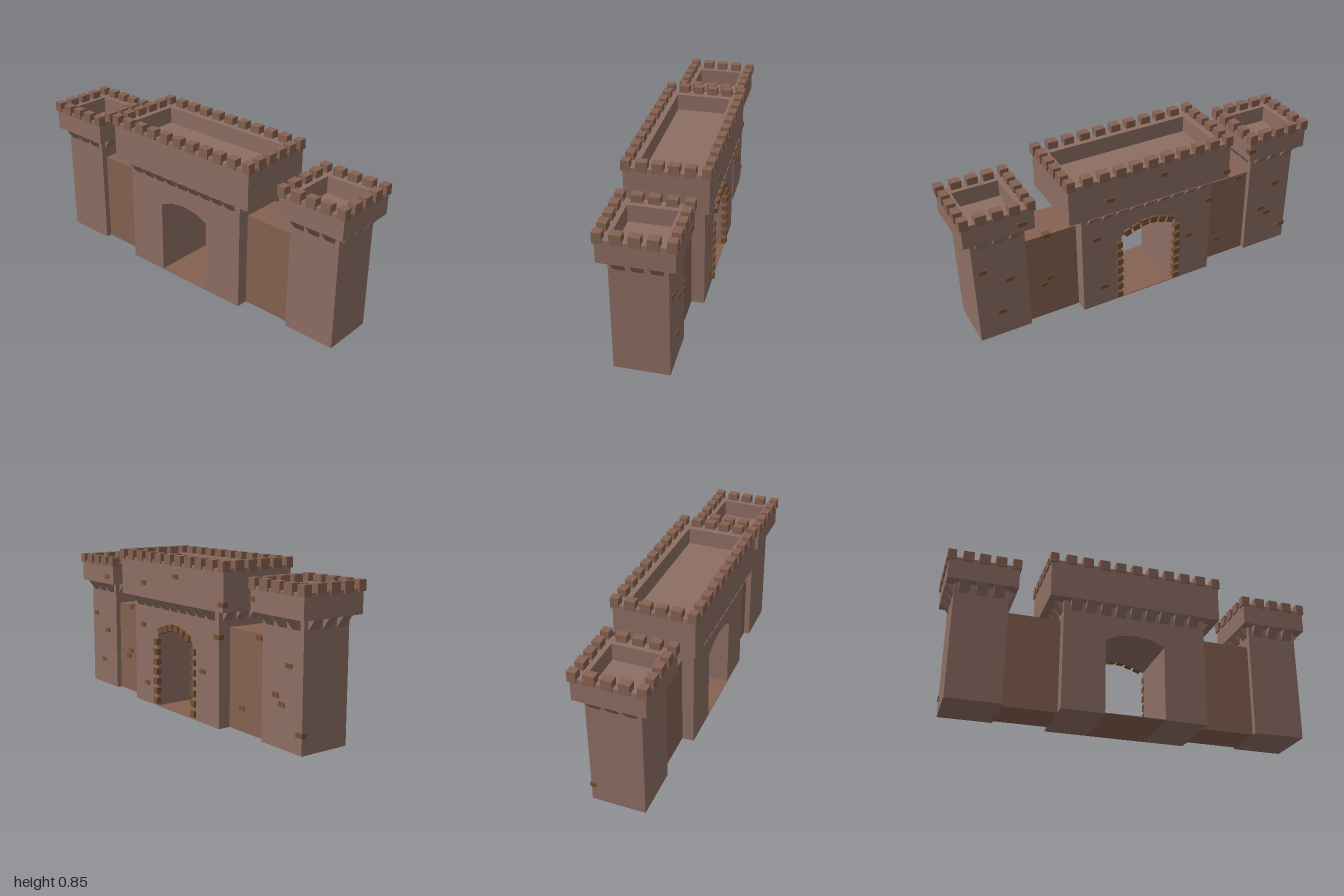
import * as THREE from 'three';

const mat = (color) => new THREE.MeshStandardMaterial({ color, flatShading: true, roughness: 0.9 });
const STONE = mat(0x8d6e63), WALL = mat(0x866252), BRICK = mat(0x755032);

function add(parent, name, geometry, material, x = 0, y = 0, z = 0) {
  const mesh = new THREE.Mesh(geometry, material);
  mesh.name = name;
  mesh.position.set(x, y, z);
  parent.add(mesh);
  return mesh;
}

const box = (parent, name, material, w, h, d, x, y, z) =>
  add(parent, name, new THREE.BoxGeometry(w, h, d), material, x, y, z);

const extrude = (shape, depth) => new THREE.ExtrudeGeometry(shape, { depth, bevelEnabled: false });

const polygon = (points) => new THREE.Shape(points.map(([x, y]) => new THREE.Vector2(x, y)));

const rect = (hx, hy) => [[-hx, -hy], [hx, -hy], [hx, hy], [-hx, hy]];

// Overhanging head: solid slab, parapet ring and merlons around the rim
function head(parent, { hx, hz, bottom, top, rimX, rimZ, nx, nz }) {
  const floor = top - 0.09;
  box(parent, 'headSlab', STONE, hx * 2, floor - bottom, hz * 2, 0, (floor + bottom) / 2, 0);
  const ring = polygon(rect(hx, hz));
  ring.holes.push(polygon(rect(rimX, rimZ)));
  add(parent, 'parapet', extrude(ring, top - floor).rotateX(-Math.PI / 2), STONE, 0, floor, 0);

  const size = 0.044, y = top + 0.012;
  const ex = hx + 0.008 - size / 2, ez = hz + 0.008 - size / 2;
  for (const s of [-1, 1]) {
    for (let i = 0; i < nx; i++) {
      const corner = i === 0 || i === nx - 1;
      box(parent, 'merlon', WALL, corner ? size : 0.055, 0.054, size, -ex + (2 * ex * i) / (nx - 1), y, s * ez);
    }
    for (let i = 1; i < nz - 1; i++)
      box(parent, 'merlon', WALL, size, 0.054, 0.055, s * ex, y, -ez + (2 * ez * i) / (nz - 1));
  }
}

// Wedge-shaped brackets on all four faces, below the head
function corbels(parent, hx, hz, top, nx, nz, pitchX, pitchZ) {
  const w = 0.055, h = 0.054;
  const wedge = extrude(polygon([[-0.005, -h], [0, -h], [0.041, 0], [-0.005, 0]]), w).translate(0, 0, -w / 2);
  const place = (x, z, angle) => {
    add(parent, 'corbel', wedge, STONE, x, top, z).rotation.y = angle;
  };
  for (let i = 0; i < nz; i++) {
    const z = (i - (nz - 1) / 2) * pitchZ;
    place(hx, z, 0);
    place(-hx, z, Math.PI);
  }
  for (let i = 0; i < nx; i++) {
    const x = (i - (nx - 1) / 2) * pitchX;
    place(x, hz, -Math.PI / 2);
    place(x, -hz, Math.PI / 2);
  }
}

function tower(z) {
  const g = new THREE.Group();
  g.name = z > 0 ? 'frontTower' : 'backTower';
  g.position.set(-0.007, 0, z);
  box(g, 'towerBody', STONE, 0.278, 0.63, 0.278, 0, 0.315, 0);
  corbels(g, 0.139, 0.139, 0.624, 3, 3, 0.088, 0.088);
  head(g, { hx: 0.181, hz: 0.181, bottom: 0.624, top: 0.745, rimX: 0.121, rimZ: 0.121, nx: 5, nz: 5 });
  return g;
}

function gatehouse() {
  const g = new THREE.Group();
  g.name = 'gatehouse';
  g.position.set(-0.0025, 0, -0.002);
  const hx = 0.1755, hz = 0.387;

  // Body with an arched passage through it
  const outline = polygon([
    [-hz, 0], [-0.16, 0], [-0.16, 0.405], [-0.085, 0.437], [0, 0.448], [0.085, 0.437],
    [0.16, 0.405], [0.16, 0], [hz, 0], [hz, 0.6], [-hz, 0.6],
  ]);
  const body = extrude(outline, hx * 2).translate(0, 0, -hx).rotateY(Math.PI / 2);
  add(g, 'gateBody', body, STONE);
  box(g, 'passageFloor', WALL, hx * 2, 0.004, 0.32, 0, 0.002, 0);

  corbels(g, hx, hz, 0.598, 4, 9, 0.083, 0.081);
  head(g, { hx: 0.2125, hz: 0.467, bottom: 0.598, top: 0.808, rimX: 0.148, rimZ: 0.4, nx: 6, nz: 11 });

  // Stones framing the passage on one face
  for (const s of [-1, 1]) {
    for (let i = 0; i < 7; i++)
      box(g, 'jambStone', BRICK, 0.03, 0.034, 0.033, hx - 0.003, 0.031 + i * 0.0545, s * 0.174);
    for (const [z, y, tilt] of [[0.126, 0.426, 0.36], [0.076, 0.443, 0.28], [0.026, 0.456, 0.12]])
      box(g, 'archStone', BRICK, 0.034, 0.034, 0.038, hx - 0.003, y, s * z).rotation.x = s * tilt;
  }
  return g;
}

export function createModel() {
  const model = new THREE.Group();
  model.name = 'castleGate';
  model.add(gatehouse(), tower(0.81), tower(-0.81));

  // Curtain walls between gatehouse and towers
  for (const s of [-1, 1])
    box(model, 'curtainWall', WALL, 0.22, 0.51, 0.31, -0.005, 0.255, s * 0.53);

  // Loose bricks, grouped by the x of the face they sit on: [z, y]
  const faces = [
    [0.132, [[0.903, 0.425], [0.769, 0.335], [0.823, 0.148], [-0.855, 0.4], [-0.77, 0.25], [-0.812, 0.212], [-0.932, 0.094]]],
    [0.174, [[0.694, 0.667], [-0.641, 0.684]]],
    [0.105, [[0.544, 0.502], [0.544, 0.24], [0.576, 0.206], [-0.614, 0.49], [-0.49, 0.12]]],
    [0.173, [[0.303, 0.437], [0.265, 0.115], [-0.255, 0.27], [-0.372, 0.464]]],
    [0.21, [[0.239, 0.678], [-0.067, 0.737], [-0.453, 0.635]]],
  ];
  for (const [x, spots] of faces)
    for (const [z, y] of spots)
      box(model, 'looseBrick', BRICK, 0.03, 0.024, 0.043, x - 0.01, y, z);
  return model;
}
